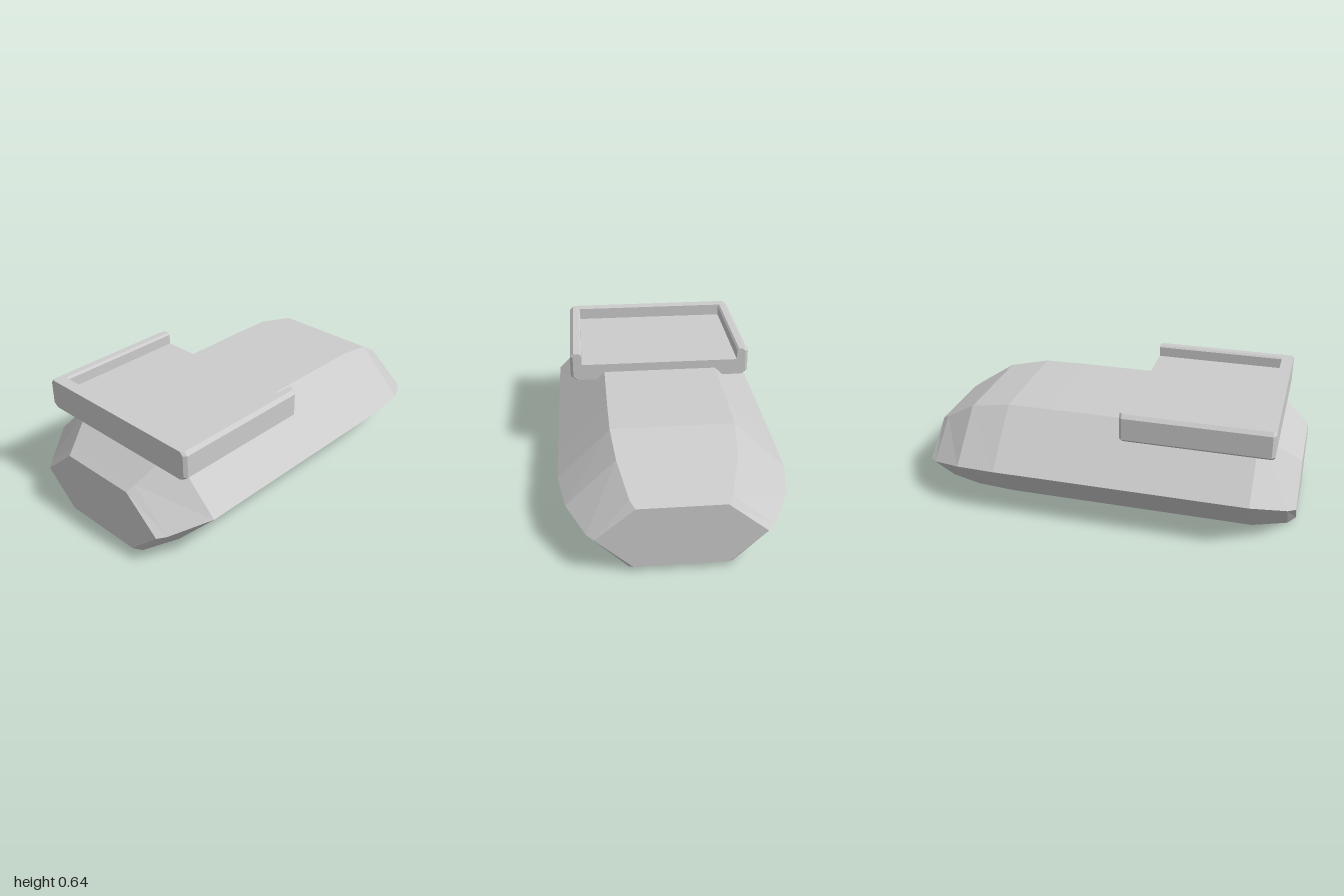
import * as THREE from 'three';

// Skin a closed, flat-shaded solid over [z, outline] sections.
// Outlines run counter-clockwise seen from +z; z increases.
function loft(name, sections) {
  const pos = [];
  const n = sections[0][1].length;
  const put = (s, i) => pos.push(...sections[s][1][i % n], sections[s][0]);
  for (let s = 0; s < sections.length - 1; s++) {
    for (let i = 0; i < n; i++) {
      put(s, i); put(s, i + 1); put(s + 1, i + 1);
      put(s, i); put(s + 1, i + 1); put(s + 1, i);
    }
  }
  const last = sections.length - 1;
  for (const [s, flip] of [[0, true], [last, false]]) {
    const outline = sections[s][1].map(([x, y]) => new THREE.Vector2(x, y));
    for (const tri of THREE.ShapeUtils.triangulateShape(outline, [])) {
      (flip ? tri.reverse() : tri).forEach((i) => put(s, i));
    }
  }
  const geometry = new THREE.BufferGeometry();
  geometry.setAttribute('position', new THREE.Float32BufferAttribute(pos, 3));
  geometry.computeVertexNormals();
  const mesh = new THREE.Mesh(geometry,
    new THREE.MeshStandardMaterial({ color: 0xcccccc, flatShading: true }));
  mesh.name = name;
  return mesh;
}

// Complete a right half outline (bottom to top) with its mirror image.
const mirrored = (half) => [...half, ...half.slice().reverse().map(([x, y]) => [-x, y])];

export function createModel() {
  const group = new THREE.Group();

  // Hexagonal hull: z, then half width and height of bottom, waist and top
  const hull = [
    [-1.00, 0.23, 0.025, 0.41, 0.19, 0.215, 0.35],
    [-0.96, 0.25, 0, 0.445, 0.195, 0.24, 0.375],
    [-0.78, 0.305, 0, 0.54, 0.243, 0.29, 0.485],
    [-0.56, 0.325, 0, 0.578, 0.263, 0.31, 0.53],
    [-0.33, 0.325, 0, 0.58, 0.265, 0.312, 0.533],
    [0.78, 0.325, 0, 0.58, 0.265, 0.312, 0.533],
    [0.96, 0.255, 0, 0.45, 0.197, 0.235, 0.39],
    [1.00, 0.23, 0.025, 0.415, 0.19, 0.218, 0.36],
  ];
  group.add(loft('hull', hull.map(([z, bx, by, mx, my, tx, ty]) =>
    [z, mirrored([[bx, by], [mx, my], [tx, ty]])])));

  // Tray with chamfered edges, raised on three sides and open at the rear
  const top = 0.645, floor = 0.58;
  const trayOutline = (inset, base) => mirrored([
    [0.475 - inset, 0.49], [0.5 - inset, 0.51], [0.5 - inset, 0.627], [0.482 - inset, top],
    [0.447, top], [0.437, Math.max(0.635, base)], [0.437, base],
  ]);
  group.add(loft('tray', [
    [0.10, trayOutline(0.015, floor)],
    [0.115, trayOutline(0, floor)],
    [0.81, trayOutline(0, floor)],
    [0.811, trayOutline(0, top)],
    [0.86, trayOutline(0, top)],
    [0.875, trayOutline(0.015, top)],
  ]));

  return group;
}
